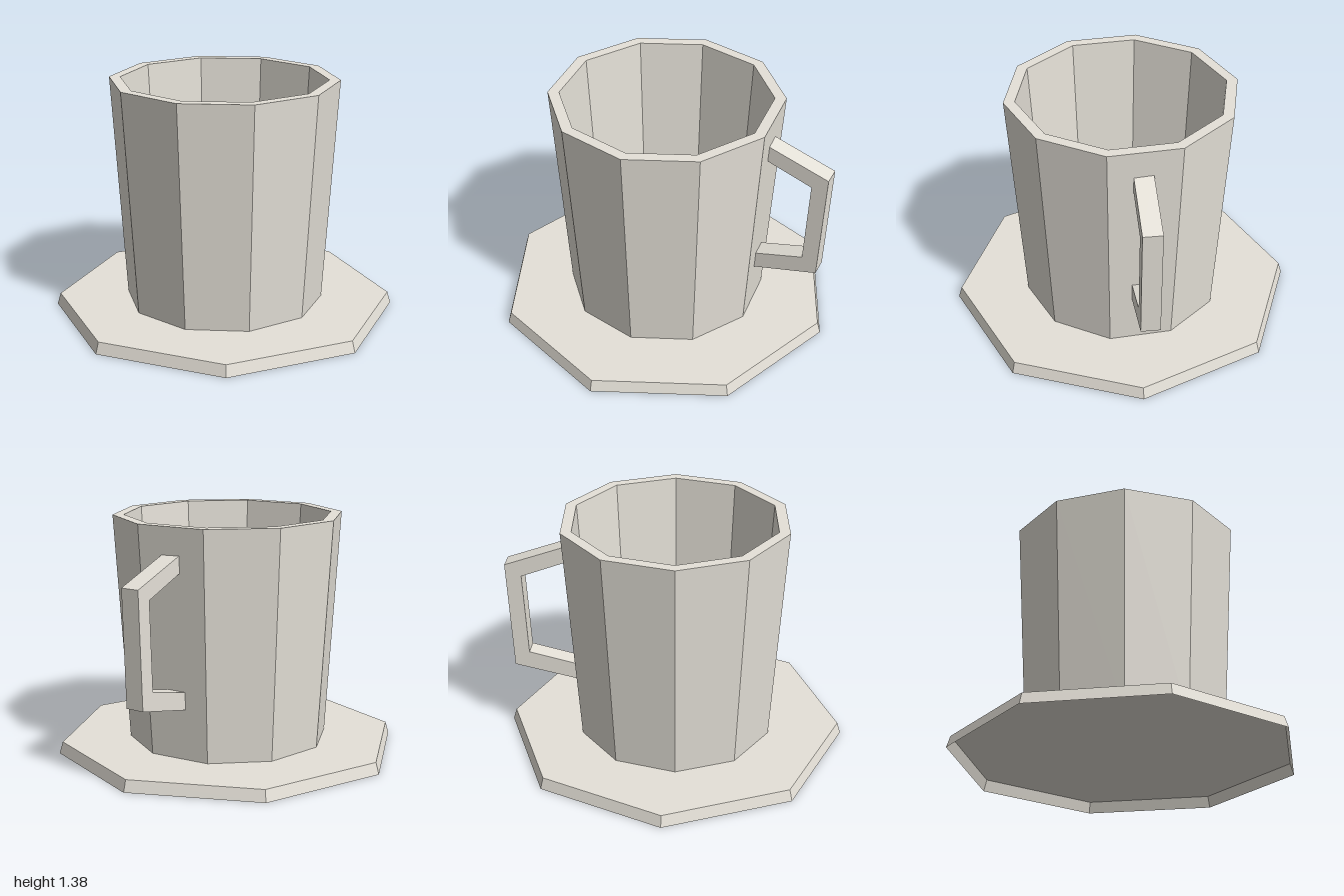
import * as THREE from 'three';

// Double-sided, as the saucer is an open shell seen from below
const glaze = new THREE.MeshStandardMaterial({ color: 0xe5e1d8, side: THREE.DoubleSide });
glaze.name = 'warm grey glaze';

// Mesh with one normal per face, for the low-poly look
function facetedMesh(name, geometry) {
  const flat = geometry.index ? geometry.toNonIndexed() : geometry;
  flat.computeVertexNormals();
  const mesh = new THREE.Mesh(flat, glaze);
  mesh.name = name;
  return mesh;
}

const points = (list) => list.map(([x, y]) => new THREE.Vector2(x, y));

export function createModel() {
  const model = new THREE.Group();
  model.name = 'cupAndSaucer';

  // Octagonal saucer: a sloping edge and a top, hollow underneath
  const saucerHeight = 0.067;
  const saucerProfile = points([[1, 0], [0.98, saucerHeight], [0, saucerHeight]]);
  model.add(facetedMesh('saucer', new THREE.LatheGeometry(saucerProfile, 8)));

  // Ten-sided cup: outer wall, rim, inner wall and floor in one profile
  const floorHeight = saucerHeight + 0.004;
  const cupProfile = points([
    [0.579, saucerHeight],
    [0.659, 1.377],
    [0.595, 1.377],
    [0.521, floorHeight],
    [0, floorHeight],
  ]);
  model.add(facetedMesh('cup', new THREE.LatheGeometry(cupProfile, 10, 0.075)));

  // Angular handle on the left, its ends buried in the cup wall
  const handleShape = new THREE.Shape(points([
    [0.595, 1.229], [0.595, 1.133],
    [0.873, 1.029], [0.854, 0.533], [0.555, 0.46],
    [0.555, 0.359], [0.942, 0.447], [0.966, 1.098],
  ]));
  const handleWidth = 0.108;
  const handle = facetedMesh('handle', new THREE.ExtrudeGeometry(handleShape, {
    depth: handleWidth,
    bevelEnabled: false,
  }));
  handle.position.z = -0.094;
  model.add(handle);

  return model;
}
